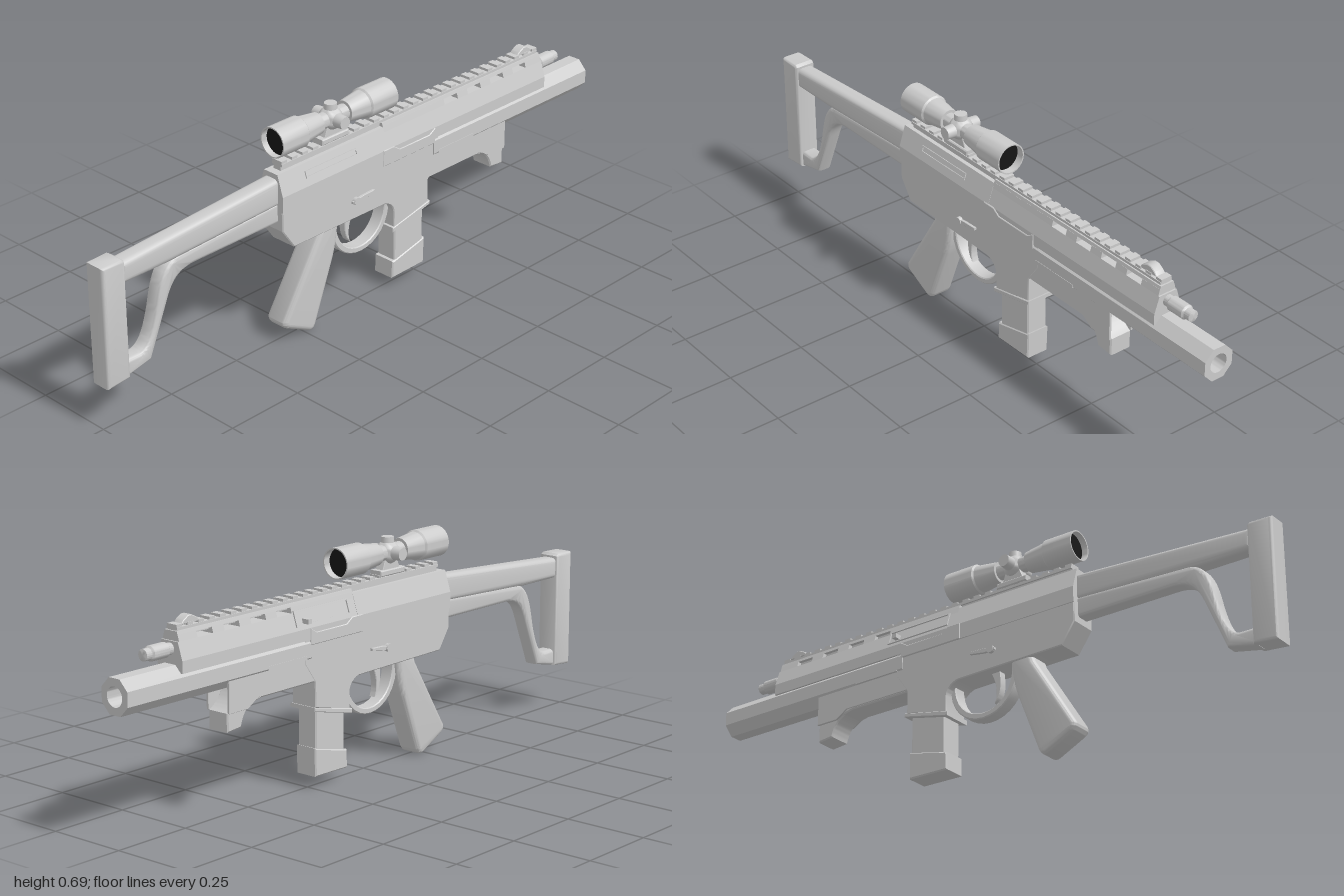
import * as THREE from 'three';
import { toCreasedNormals } from 'three/addons/utils/BufferGeometryUtils.js';

const grey = new THREE.MeshStandardMaterial({ color: 0xcccccc });
const dark = new THREE.MeshStandardMaterial({ color: 0x161616 });

export function createModel() {
  const model = new THREE.Group();

  function add(name, geometry, x = 0, y = 0, z = 0, material = grey) {
    const mesh = new THREE.Mesh(geometry, material);
    mesh.name = name;
    mesh.position.set(x, y, z);
    model.add(mesh);
    return mesh;
  }
  const box = (name, x0, x1, y0, y1, z0, z1) =>
    add(name, new THREE.BoxGeometry(x1 - x0, y1 - y0, z1 - z0), (x0 + x1) / 2, (y0 + y1) / 2, (z0 + z1) / 2);

  const toShape = (pts) => new THREE.Shape(pts.map(([x, y]) => new THREE.Vector2(x, y)));

  // Side profile in x and y, extruded to a half width, with rounded edges
  function plate(name, profile, half, bevel = 0.004, z = 0) {
    const shape = Array.isArray(profile) ? toShape(profile) : profile;
    const geo = new THREE.ExtrudeGeometry(shape, {
      depth: 2 * (half - bevel), bevelEnabled: bevel > 0, bevelSize: bevel, bevelThickness: bevel,
      bevelOffset: -bevel, bevelSegments: bevel > 0.008 ? 4 : 1, curveSegments: 16,
    });
    geo.translate(0, 0, -(half - bevel));
    return add(name, toCreasedNormals(geo, 0.6), 0, 0, z);
  }

  // Mirrored cross-section, listed as [z, y] from bottom to top, run along x
  function section(name, halfPts, x0, x1) {
    const other = halfPts.map(([z, y]) => [-z, y]).reverse();
    const geo = new THREE.ExtrudeGeometry(toShape([...halfPts, ...other]), { depth: x1 - x0, bevelEnabled: false });
    geo.rotateY(Math.PI / 2);
    return add(name, geo, x0);
  }

  // Turned part along x, listed as [x, radius]
  function turned(name, pts, y, z = 0, sides = 32) {
    const geo = new THREE.LatheGeometry(pts.map(([x, r]) => new THREE.Vector2(r, x)), sides);
    geo.rotateZ(-Math.PI / 2);
    return add(name, toCreasedNormals(geo, 0.5), 0, y, z);
  }

  // Shoulder stock: pad, upper beam and curved lower strut
  plate('buttPad', [[-1, 0.14], [-0.92, 0.147], [-0.92, 0.51], [-0.93, 0.517], [-1, 0.515]], 0.035, 0.01);
  plate('upperStockBeam', [[-0.93, 0.437], [-0.76, 0.437], [-0.34, 0.455], [-0.34, 0.54], [-0.93, 0.503]], 0.03, 0.018);
  const strut = new THREE.Shape();
  strut.moveTo(-0.34, 0.40);
  strut.lineTo(-0.34, 0.465);
  strut.lineTo(-0.72, 0.447);
  strut.bezierCurveTo(-0.78, 0.44, -0.795, 0.38, -0.81, 0.31);
  strut.bezierCurveTo(-0.83, 0.23, -0.85, 0.205, -0.875, 0.2);
  strut.lineTo(-0.93, 0.2);
  strut.lineTo(-0.93, 0.145);
  strut.lineTo(-0.835, 0.165);
  strut.lineTo(-0.77, 0.32);
  strut.bezierCurveTo(-0.75, 0.37, -0.73, 0.397, -0.67, 0.40);
  plate('lowerStockStrut', strut, 0.026, 0.012);

  // Receiver with magazine well
  const lower = new THREE.Shape();
  lower.moveTo(-0.35, 0.485);
  lower.lineTo(-0.35, 0.38);
  lower.lineTo(-0.305, 0.315);
  lower.lineTo(0.07, 0.31);
  lower.quadraticCurveTo(0.11, 0.3, 0.112, 0.265);
  lower.lineTo(0.112, 0.215);
  lower.lineTo(0.262, 0.25);
  lower.lineTo(0.262, 0.325);
  lower.lineTo(0.305, 0.385);
  lower.lineTo(0.305, 0.485);
  plate('lowerReceiver', lower, 0.045, 0.003);
  section('upperReceiver', [[0.048, 0.44], [0.048, 0.49], [0.027, 0.555]], -0.35, 0.08);
  plate('receiverStep', [[0.06, 0.44], [0.285, 0.44], [0.285, 0.49], [0.26, 0.475], [0.13, 0.475], [0.105, 0.492], [0.06, 0.492]], 0.05, 0.002);
  plate('magazineWellLip', [[0.105, 0.203], [0.268, 0.24], [0.268, 0.252], [0.105, 0.218]], 0.048, 0.002);

  // Raised frame around the left-hand slot, lying on the sloping face
  const slope = Math.atan2(0.021, 0.065);
  function slopedFrame(name, x0, x1, height, side) {
    const shape = toShape([[x0, -height], [x1, -height], [x1, height], [x0, height]]);
    const b = 0.005;
    const hole = [[x0 + b, -height + b], [x0 + b, height - b], [x1 - b, height - b], [x1 - b, -height + b]];
    shape.holes.push(new THREE.Path(hole.map(([x, y]) => new THREE.Vector2(x, y))));
    const geo = new THREE.ExtrudeGeometry(shape, { depth: 0.006, bevelEnabled: false });
    geo.translate(0, 0, -0.003);
    add(name, geo, 0, 0.523, side * 0.0375).rotation.x = -side * slope;
  }
  slopedFrame('sideSlotFrame', -0.25, -0.04, 0.011, 1);
  slopedFrame('ejectionPortFrame', 0.11, 0.34, 0.024, -1);
  box('chargingHandle', 0.295, 0.31, 0.507, 0.521, -0.062, -0.03);

  // Fore-end with open vents under the rail
  section('handguard', [[0.047, 0.455], [0.047, 0.49], [0.031, 0.54]], 0.08, 0.795);
  const vents = [[0.345, 0.405], [0.45, 0.51], [0.555, 0.615], [0.66, 0.72]];
  let start = 0.08;
  for (const [a, b] of [...vents, [0.79, 0.79]]) {
    section('ventBridge', [[0.031, 0.54], [0.026, 0.558]], start, a);
    start = b;
  }
  section('handguardCap', [[0.026, 0.557], [0.023, 0.567]], 0.08, 0.79);

  // Sight rail and its teeth
  box('railNeck', -0.325, 0.785, 0.55, 0.573, -0.014, 0.014);
  box('railBase', -0.325, 0.785, 0.568, 0.576, -0.02, 0.02);
  for (let i = 0; i < 27; i++) {
    const x = -0.325 + i * 0.0419;
    box('railTooth', x, x + 0.022, 0.575, 0.584, -0.018, 0.018);
  }
  plate('frontSight', [[0.695, 0.58], [0.765, 0.58], [0.755, 0.592], [0.738, 0.602], [0.725, 0.602], [0.705, 0.592]], 0.016, 0.002);

  // Eight-sided barrel and the plug above it
  const barrel = toShape(Array.from({ length: 8 }, (_, i) => {
    const a = (i + 0.5) * Math.PI / 4;
    return [0.049 * Math.cos(a) / Math.cos(Math.PI / 8), 0.051 * Math.sin(a) / Math.cos(Math.PI / 8)];
  }));
  const bore = new THREE.Path();
  bore.absarc(0, 0, 0.029, 0, Math.PI * 2, true);
  barrel.holes.push(bore);
  const barrelGeo = new THREE.ExtrudeGeometry(barrel, { depth: 0.72, bevelEnabled: false, curveSegments: 20 });
  barrelGeo.rotateY(Math.PI / 2);
  add('barrel', toCreasedNormals(barrelGeo, 0.5), 0.28, 0.425);
  turned('gasPlug', [[0.78, 0], [0.78, 0.017], [0.81, 0.017], [0.815, 0.022], [0.87, 0.022],
    [0.875, 0.017], [0.895, 0.017], [0.897, 0.012], [0.897, 0]], 0.518, 0, 20);

  // Hollow hand stop: solid top, two side cheeks and a narrow front spur
  plate('foreEnd', [[0.25, 0.325], [0.48, 0.325], [0.525, 0.315], [0.56, 0.385], [0.25, 0.385]], 0.04, 0.004);
  for (const side of [-1, 1])
    plate('handStopCheek', [[0.25, 0.33], [0.5, 0.33], [0.54, 0.305], [0.615, 0.305], [0.615, 0.4], [0.25, 0.4]], 0.004, 0.001, side * 0.04);
  const spur = new THREE.Shape();
  spur.moveTo(0.48, 0.325);
  spur.quadraticCurveTo(0.545, 0.32, 0.56, 0.255);
  spur.lineTo(0.615, 0.25);
  spur.lineTo(0.615, 0.305);
  spur.quadraticCurveTo(0.57, 0.33, 0.555, 0.385);
  spur.lineTo(0.48, 0.385);
  plate('handStopSpur', spur, 0.037, 0.004);
  for (const side of [-1, 1]) box('foreEndRib', 0.3, 0.46, 0.4, 0.412, side * 0.047 - 0.003, side * 0.047 + 0.003);

  // Pistol grip
  const grip = new THREE.Shape();
  grip.moveTo(-0.19, 0.33);
  grip.lineTo(-0.2, 0.3);
  grip.lineTo(-0.34, 0.075);
  grip.quadraticCurveTo(-0.345, 0.055, -0.325, 0.045);
  grip.lineTo(-0.24, 0.003);
  grip.quadraticCurveTo(-0.22, -0.003, -0.21, 0.02);
  grip.lineTo(-0.145, 0.19);
  grip.quadraticCurveTo(-0.12, 0.25, -0.115, 0.33);
  plate('pistolGrip', grip, 0.04, 0.016);

  // Trigger guard and trigger
  const guard = new THREE.Shape();
  guard.moveTo(-0.13, 0.32);
  guard.bezierCurveTo(-0.14, 0.125, 0.13, 0.125, 0.115, 0.32);
  guard.lineTo(0.095, 0.32);
  guard.bezierCurveTo(0.11, 0.15, -0.12, 0.15, -0.11, 0.32);
  plate('triggerGuard', guard, 0.022, 0.003);
  const trigger = new THREE.Shape();
  trigger.moveTo(-0.06, 0.32);
  trigger.quadraticCurveTo(-0.075, 0.24, -0.04, 0.215);
  trigger.quadraticCurveTo(-0.06, 0.26, -0.025, 0.32);
  plate('trigger', trigger, 0.012, 0.002);

  // Magazine and its base
  plate('magazine', [[0.125, 0.06], [0.25, 0.06], [0.25, 0.28], [0.125, 0.28]], 0.035, 0.004);
  plate('magazineBase', [[0.114, 0.038], [0.254, 0.04], [0.256, 0.126], [0.116, 0.094]], 0.038, 0.004);

  // Selector lever and pin on both sides
  for (const side of [-1, 1]) {
    plate('selectorLever', [[-0.07, 0.366], [-0.03, 0.366], [0.02, 0.374], [0.02, 0.382], [-0.03, 0.38], [-0.07, 0.374]], 0.005, 0.001, side * 0.048);
    const pin = new THREE.CylinderGeometry(0.012, 0.012, 0.016, 16).rotateX(Math.PI / 2);
    add('selectorPin', pin, -0.055, 0.371, side * 0.048);
  }

  // Scope: tube with recessed dark lenses, adjustment knobs and mount
  turned('scopeTube', [[-0.322, 0.043], [-0.342, 0.043], [-0.342, 0.047], [-0.24, 0.047], [-0.235, 0.042],
    [-0.165, 0.033], [-0.165, 0.024], [-0.055, 0.024], [-0.055, 0.033], [0.015, 0.042], [0.02, 0.047],
    [0.124, 0.047], [0.124, 0.043], [0.1, 0.043]], 0.644);
  for (const [x, turn] of [[-0.322, -1], [0.1, 1]])
    add('scopeLens', new THREE.CircleGeometry(0.0435, 32).rotateY(turn * Math.PI / 2), x, 0.644, 0, dark);
  add('turretHub', toCreasedNormals(new THREE.SphereGeometry(0.036, 20, 14), 1), -0.11, 0.644);
  const knob = new THREE.CylinderGeometry(0.019, 0.021, 0.03, 20);
  add('elevationKnob', knob, -0.11, 0.676);
  for (const side of [-1, 1])
    add('windageKnob', knob, -0.11, 0.644, side * 0.044).rotation.x = side * Math.PI / 2;
  plate('scopeMountStem', [[-0.15, 0.59], [-0.07, 0.59], [-0.085, 0.63], [-0.135, 0.63]], 0.015, 0.002);
  plate('scopeMountClamp', [[-0.165, 0.578], [-0.055, 0.578], [-0.055, 0.596], [-0.165, 0.596]], 0.022, 0.003);

  return model;
}
